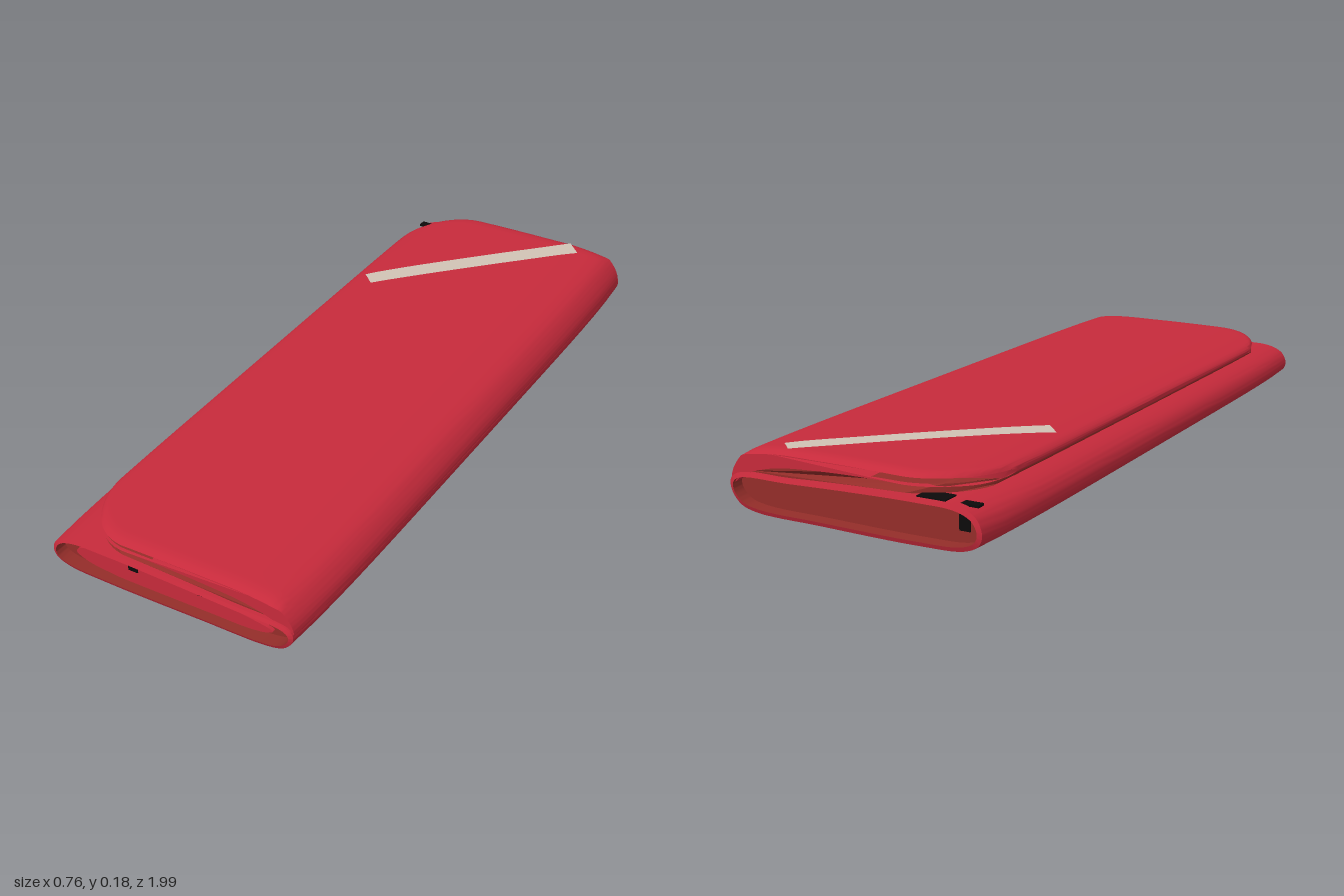
import * as THREE from 'three';
import { toCreasedNormals } from 'three/addons/utils/BufferGeometryUtils.js';

const red = new THREE.MeshStandardMaterial({ color: 0xc62a3b });
red.name = 'red leather';
const lining = new THREE.MeshStandardMaterial({ color: 0x942d29 });
lining.name = 'dark red lining';
const silver = new THREE.MeshStandardMaterial({ color: 0xd0c2b4, side: THREE.DoubleSide });
silver.name = 'silver trim';
const black = new THREE.MeshStandardMaterial({ color: 0x0c0a0a });
black.name = 'black inside';

// Smooth closed outline, counter-clockwise as seen from the front
function outline(points, count) {
  const curve = new THREE.CatmullRomCurve3(
    points.map(([x, y]) => new THREE.Vector3(x, y, 0)), true, 'centripetal');
  const pts = curve.getPoints(count).slice(0, -1).map(p => new THREE.Vector2(p.x, p.y));
  return THREE.ShapeUtils.isClockWise(pts) ? pts.reverse() : pts;
}

// Overall shape: ends slightly narrower, back a little thicker than the front
function warp(x, y, z) {
  return [x * (1 - 0.04 * z ** 6), y * (1 - 0.08 * z), z];
}

// Sweep an outline along z; each row is [t, inset], with a half-length by x
function loft(profile, rows, halfLength, place) {
  const outer = [], inner = [];
  const grid = rows.map(([t, inset]) => profile.map(p => {
    const [x, y] = place(p.x, p.y, t, inset);
    return warp(x, y, t * halfLength(p.x));
  }));
  const n = profile.length;
  for (let j = 0; j < rows.length - 1; j++) {
    const list = rows[j][1] && rows[j + 1][1] ? inner : outer;
    for (let i = 0; i < n; i++) {
      const k = (i + 1) % n;
      const a = grid[j][i], b = grid[j][k], c = grid[j + 1][k], d = grid[j + 1][i];
      list.push(a, b, c, a, c, d);
    }
  }
  const first = grid[0], last = grid[grid.length - 1];
  for (const [a, b, c] of THREE.ShapeUtils.triangulateShape(profile, [])) {
    inner.push(last[a], last[b], last[c], first[a], first[c], first[b]);
  }
  let geo = new THREE.BufferGeometry();
  geo.setAttribute('position',
    new THREE.Float32BufferAttribute(outer.concat(inner).flat(), 3));
  geo = toCreasedNormals(geo, 0.8);
  geo.clearGroups();
  geo.addGroup(0, outer.length, 0);
  geo.addGroup(outer.length, inner.length, 1);
  return geo;
}

const steps = (from, to, n) =>
  Array.from({ length: n + 1 }, (_, i) => [from + (to - from) * i / n, 0]);
const asIs = (x, y) => [x, y];

export function createModel() {
  const group = new THREE.Group();
  const add = (name, geo, mat) => {
    const mesh = new THREE.Mesh(geo, mat);
    mesh.name = name;
    group.add(mesh);
    return mesh;
  };

  // Pouch: a flattened tube with a lined, recessed mouth at both ends
  const pouchProfile = outline([
    [-0.38, 0.05], [-0.37, 0.025], [-0.33, 0.007], [-0.2, 0], [0.1, 0.002],
    [0.3, 0.006], [0.35, 0.02], [0.377, 0.05], [0.38, 0.075], [0.36, 0.093],
    [0.2, 0.1], [0, 0.108], [-0.2, 0.112], [-0.32, 0.107], [-0.365, 0.085],
  ], 90);
  const pouchRows = [[-0.96, 1], [-1, 1], ...steps(-0.995, 0.995, 20), [1, 1], [0.96, 1]];
  add('pouch', loft(pouchProfile, pouchRows, () => 0.995,
    (x, y, t, inset) => [x * (1 - 0.03 * inset), 0.053 + (y - 0.053) * (1 - 0.2 * inset)]),
  [red, lining]);

  // Folded inner pocket, visible inside the front mouth
  const pocketProfile = outline([
    [-0.32, 0.045], [-0.27, 0.02], [0.26, 0.018], [0.3, 0.035], [0.24, 0.05],
    [0, 0.066], [-0.28, 0.07],
  ], 40);
  const pocket = loft(pocketProfile, steps(-1, 1, 4), () => 0.94, asIs);
  add('innerPocket', pocket.translate(0, 0, 0.025), red);

  // Flap: folds over the right-hand edge, with rounded corners on the free side
  const flapProfile = outline([
    [0.378, 0.065], [0.379, 0.085], [0.365, 0.115], [0.33, 0.147], [0.25, 0.162],
    [0.1, 0.165], [-0.1, 0.164], [-0.22, 0.161], [-0.28, 0.157], [-0.312, 0.151],
    [-0.325, 0.14], [-0.325, 0.13], [-0.31, 0.125], [-0.24, 0.13], [-0.1, 0.134],
    [0.1, 0.13], [0.25, 0.117], [0.34, 0.09],
  ], 144);
  const flapLength = x => {
    const d = Math.min(Math.max((-0.14 - x) / 0.187, 0), 1);
    return 0.72 + 0.265 * Math.sqrt(1 - d * d);
  };
  const edge = [0.95, 0.97, 0.985, 0.995, 1].map(t => [t, 0]);
  const flapRows = [...edge.map(([t]) => [-t, 0]).reverse(), ...steps(-0.92, 0.92, 20), ...edge];
  add('flap', loft(flapProfile, flapRows, flapLength, (x, y, t) => {
    const e = Math.max(0, (Math.abs(t) - 0.965) / 0.035);
    return [x, y - 0.011 * e * e * THREE.MathUtils.smoothstep(y, 0.135, 0.158)];
  }), red);

  // Lining layer under the flap
  const liningProfile = outline([
    [0.36, 0.085], [0.25, 0.122], [0.1, 0.135], [-0.1, 0.138], [-0.24, 0.136],
    [-0.312, 0.128], [-0.312, 0.117], [-0.24, 0.115], [-0.1, 0.112], [0.1, 0.105],
    [0.25, 0.096],
  ], 88);
  add('flapLining', loft(liningProfile, steps(-1, 1, 20), x => flapLength(x) - 0.006, asIs), lining);

  // Height of the flap's upper face, so the trim can follow it
  const flapTop = x => {
    let top = 0;
    flapProfile.forEach((p, i) => {
      const q = flapProfile[(i + 1) % flapProfile.length];
      if ((p.x - x) * (q.x - x) <= 0 && p.x !== q.x) {
        top = Math.max(top, p.y + (q.y - p.y) * (x - p.x) / (q.x - p.x));
      }
    });
    return top;
  };

  // Diagonal metal trim across the back corner of the flap
  const trim = new THREE.PlaneGeometry(0.69, 0.062, 30, 4);
  trim.rotateX(-Math.PI / 2).rotateY(Math.PI / 4).translate(-0.023, 0, -0.703);
  const pos = trim.attributes.position;
  for (let i = 0; i < pos.count; i++) {
    const x = pos.getX(i), z = pos.getZ(i);
    pos.setY(i, warp(x, flapTop(x), z)[1] + 0.002);
  }
  trim.computeVertexNormals();
  add('diagonalTrim', trim, silver);

  // Dark gaps beside the flap's back corner and inside the mouths
  const gap = (name, w, h, d, x, y, z) =>
    add(name, new THREE.BoxGeometry(w, h, d), black).position.set(x, y, z);
  gap('backGap', 0.08, 0.006, 0.05, -0.225, 0.121, -0.962);
  gap('backCornerGap', 0.06, 0.006, 0.025, -0.315, 0.115, -0.957);
  gap('backMouthGap', 0.03, 0.04, 0.006, -0.3, 0.065, -0.956);
  gap('frontGap', 0.06, 0.018, 0.006, 0.17, 0.075, 0.96);
  gap('frontMiddleGap', 0.045, 0.012, 0.006, 0.095, 0.064, 0.966);
  gap('frontSmallGap', 0.028, 0.018, 0.006, -0.127, 0.06, 0.966);

  return group;
}
